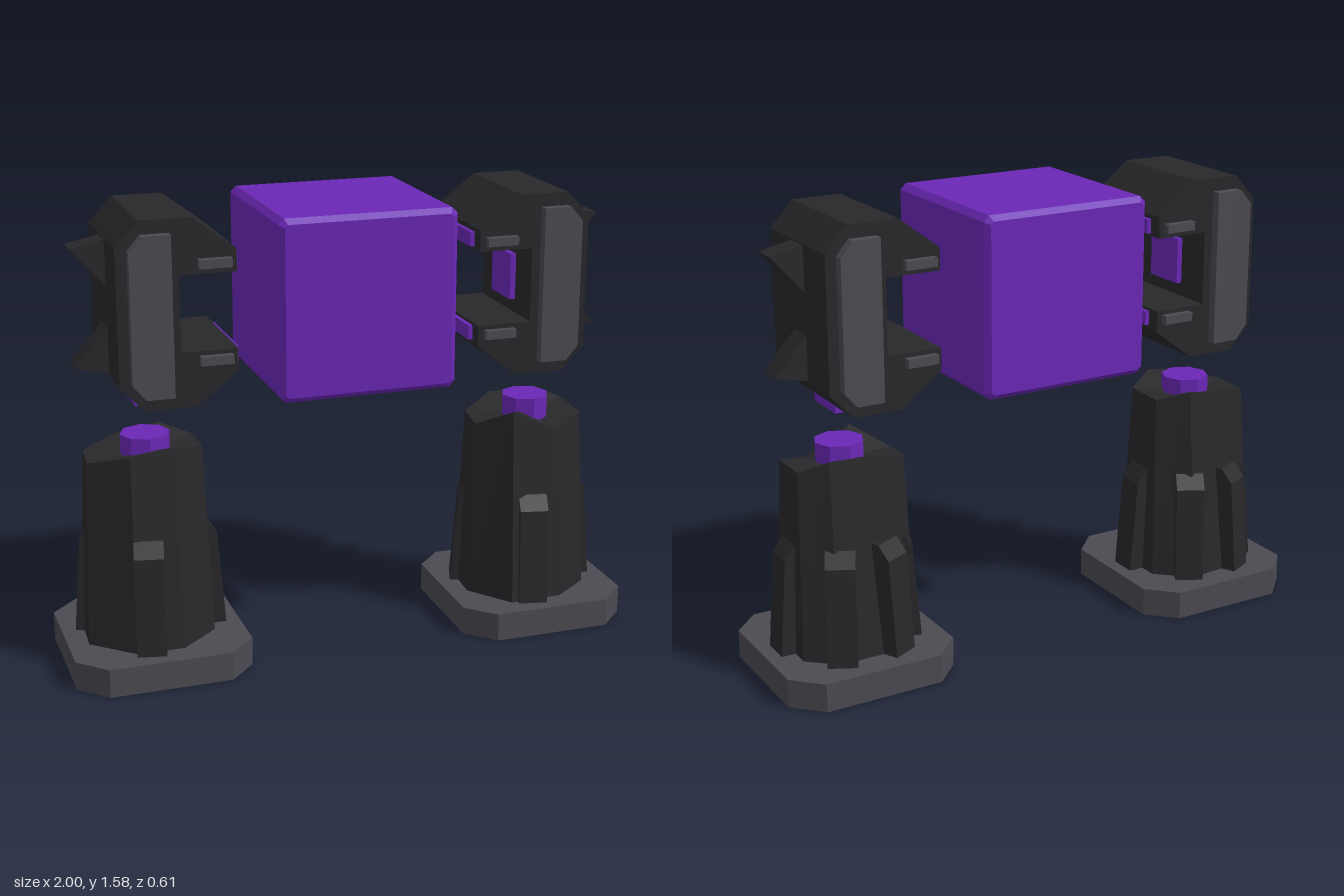
import * as THREE from 'three';

const mat = (color) => new THREE.MeshStandardMaterial({ color, flatShading: true });
const dark = mat(0x28282b), grey = mat(0x4a4a51), purple = mat(0x6a27b6);

function add(parent, name, geometry, material, x = 0, y = 0, z = 0) {
  const mesh = new THREE.Mesh(geometry, material);
  mesh.name = name;
  mesh.position.set(x, y, z);
  parent.add(mesh);
  return mesh;
}

// Outline extruded along z, centred on z = 0
function slab(points, depth, bevel = 0) {
  const shape = new THREE.Shape(points.map(([x, y]) => new THREE.Vector2(x, y)));
  const geometry = new THREE.ExtrudeGeometry(shape, {
    depth: depth - 2 * bevel, bevelEnabled: bevel > 0, bevelSegments: 1,
    bevelSize: bevel, bevelThickness: bevel, bevelOffset: -bevel,
  });
  return geometry.translate(0, 0, -depth / 2 + bevel);
}

// Square outline with cut corners
const cutSquare = (h, c) => [
  [h, -h + c], [h, h - c], [h - c, h], [-h + c, h],
  [-h, h - c], [-h, -h + c], [-h + c, -h], [h - c, -h],
];

// Shoulder clamp, modelled on the +x side about x = 0.695
function clamp() {
  const group = new THREE.Group();
  const cx = 0.695, midY = 1.2625;
  const part = (name, geometry, material, x = 0, y = 0, z = 0) =>
    add(group, name, geometry.translate(-cx, 0, 0), material, x, y, z);

  part('clampBody', slab([
    [0.565, 1.575], [0.42, 1.465], [0.42, 1.39], [0.61, 1.39], [0.61, 1.135], [0.42, 1.135],
    [0.42, 1.06], [0.565, 0.95], [0.735, 0.95], [0.815, 1.035], [0.815, 1.49], [0.735, 1.575],
  ], 0.42), dark);

  for (const z of [-1, 1]) {
    part('sidePlate', slab([
      [0.64, 0.995], [0.735, 0.995], [0.778, 1.045], [0.778, 1.48], [0.735, 1.53], [0.64, 1.53],
    ], 0.05), grey, 0, 0, z * 0.218);
    for (const y of [1.105, 1.425]) {
      part('jawBar', new THREE.BoxGeometry(0.11, 0.03, 0.05).translate(0.495, 0, 0), grey, 0, y, z * 0.21);
    }
  }

  // Spikes and jaw pads, mirrored above and below the middle
  for (const s of [-1, 1]) {
    const spike = [[0.79, 0.228], [0.928, 0.198], [0.815, 0.07], [0.79, 0.07]];
    part('spike', slab(spike.map(([x, y]) => [x, midY + s * y]), 0.09), dark);
    part('jawPad', new THREE.BoxGeometry(0.03, 0.05, 0.32).translate(0.42, 0, 0), purple, 0, midY + s * 0.162);
  }
  part('innerPad', new THREE.BoxGeometry(0.04, 0.16, 0.16).translate(0.61, 0, 0), purple, 0, midY);
  part('bottomPad', new THREE.BoxGeometry(0.115, 0.04, 0.16).translate(0.683, 0, 0), purple, 0, 0.948);
  return group;
}

// Tapered column with a jagged rim; rim points are [x, z, height]
function column(rim) {
  const tri = [];
  const top = rim.map(([x, z, y]) => [x, y, z]);
  const foot = rim.map(([x, z]) => [x * 1.12, 0.09, z * 1.45]);
  rim.forEach((_, i) => {
    const j = (i + 1) % rim.length;
    tri.push(...foot[j], ...foot[i], ...top[i], ...foot[j], ...top[i], ...top[j]);
    tri.push(0, 0.74, 0, ...top[j], ...top[i]);
    tri.push(0, 0.09, 0, ...foot[i], ...foot[j]);
  });
  const geometry = new THREE.BufferGeometry();
  geometry.setAttribute('position', new THREE.Float32BufferAttribute(tri, 3));
  geometry.computeVertexNormals();
  return geometry;
}

function leg(rim) {
  const group = new THREE.Group();
  add(group, 'footPlate', slab(cutSquare(0.305, 0.095), 0.1).rotateX(-Math.PI / 2), grey, 0, 0.05, 0);
  add(group, 'legColumn', column(rim), dark);
  add(group, 'legPin', new THREE.CylinderGeometry(0.085, 0.085, 0.31, 8), purple, 0, 0.655, 0);
  // Buttress ribs around the column
  for (const angle of [0, 102, 200, 243, 297]) {
    const rib = add(group, 'legRib', slab([
      [0.1, 0.09], [0.257, 0.09], [0.23, 0.44], [0.19, 0.49], [0.1, 0.49],
    ], 0.1), dark);
    rib.rotation.y = -THREE.MathUtils.degToRad(angle);
  }
  return group;
}

const leftRim = [
  [0.18, 0.08, 0.745], [0.06, 0.15, 0.71], [-0.11, 0.155, 0.795], [-0.21, 0.05, 0.73],
  [-0.2, -0.07, 0.74], [-0.08, -0.14, 0.78], [0.1, -0.14, 0.785], [0.185, -0.08, 0.75],
];
const rightRim = [
  [0.18, 0.07, 0.765], [0.06, 0.15, 0.795], [-0.083, 0.15, 0.775], [-0.21, 0.06, 0.74],
  [-0.2, -0.08, 0.74], [-0.07, -0.14, 0.77], [0.08, -0.15, 0.79], [0.18, -0.08, 0.76],
];

export function createModel() {
  const model = new THREE.Group();
  model.name = 'cubeWithLegs';

  // Chamfered cube body
  add(model, 'cubeBody', slab(cutSquare(0.305, 0.02), 0.61, 0.018), purple, 0, 1.262, 0);

  for (const side of [-1, 1]) {
    const label = side > 0 ? 'left' : 'right';
    const arm = clamp();
    arm.name = label + 'Clamp';
    arm.position.x = side * 0.695;
    arm.rotation.y = side > 0 ? 0 : Math.PI;
    const support = leg(side > 0 ? leftRim : rightRim);
    support.name = label + 'Leg';
    support.position.x = side * 0.695;
    model.add(arm, support);
  }
  return model;
}
